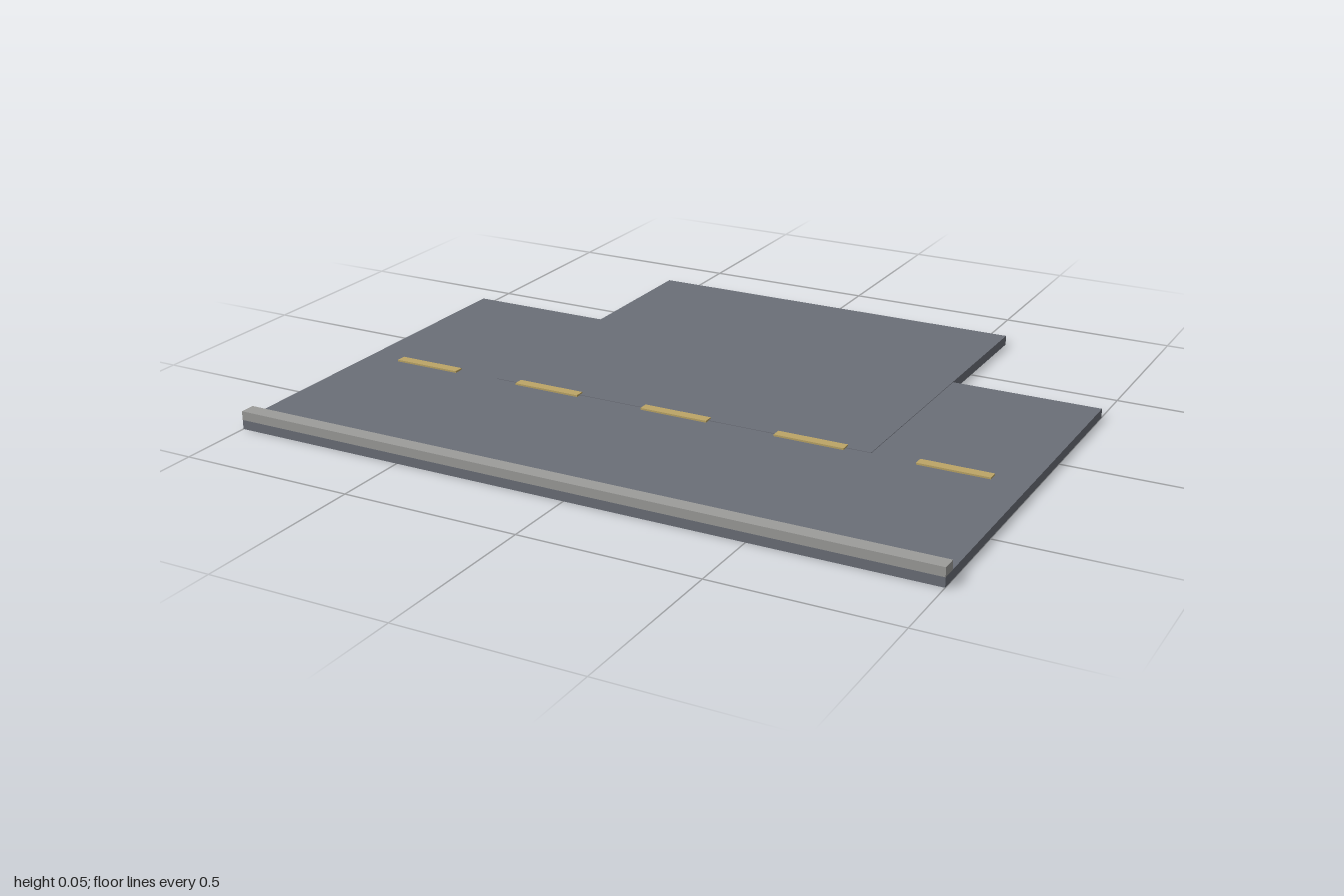
import * as THREE from 'three';

const material = (name, color) => {
  const m = new THREE.MeshStandardMaterial({ color });
  m.name = name;
  return m;
};

// Box given by its extents on each axis
function slab(name, mat, [x0, x1], [y0, y1], [z0, z1]) {
  const mesh = new THREE.Mesh(new THREE.BoxGeometry(x1 - x0, y1 - y0, z1 - z0), mat);
  mesh.position.set((x0 + x1) / 2, (y0 + y1) / 2, (z0 + z1) / 2);
  mesh.name = name;
  return mesh;
}

export function createModel() {
  const asphalt = material('asphalt grey', 0x6b6f78);
  const concrete = material('kerb grey', 0x9c9c9a);
  const paint = material('lane yellow', 0xbca566);

  const group = new THREE.Group();
  group.name = 'roadJunction';
  const roadTop = 0.026, sideTop = 0.0275, edge = 0.786;

  // Through road, and the side road that joins it at the centre line
  group.add(slab('mainRoad', asphalt, [-1, 1], [0, roadTop], [-0.357, edge]));
  group.add(slab('sideRoad', asphalt, [-0.571, 0.571], [0, sideTop], [-edge, 0.214]));

  // Raised kerb along the front edge
  group.add(slab('kerb', concrete, [-1, 1], [roadTop - 0.002, 0.051], [0.743, edge]));

  // Dashed centre line
  for (let i = -2; i <= 2; i++) {
    const x = i * 0.4;
    group.add(slab('laneDash', paint, [x - 0.1, x + 0.1], [roadTop - 0.002, 0.031], [0.2, 0.229]));
  }
  return group;
}
